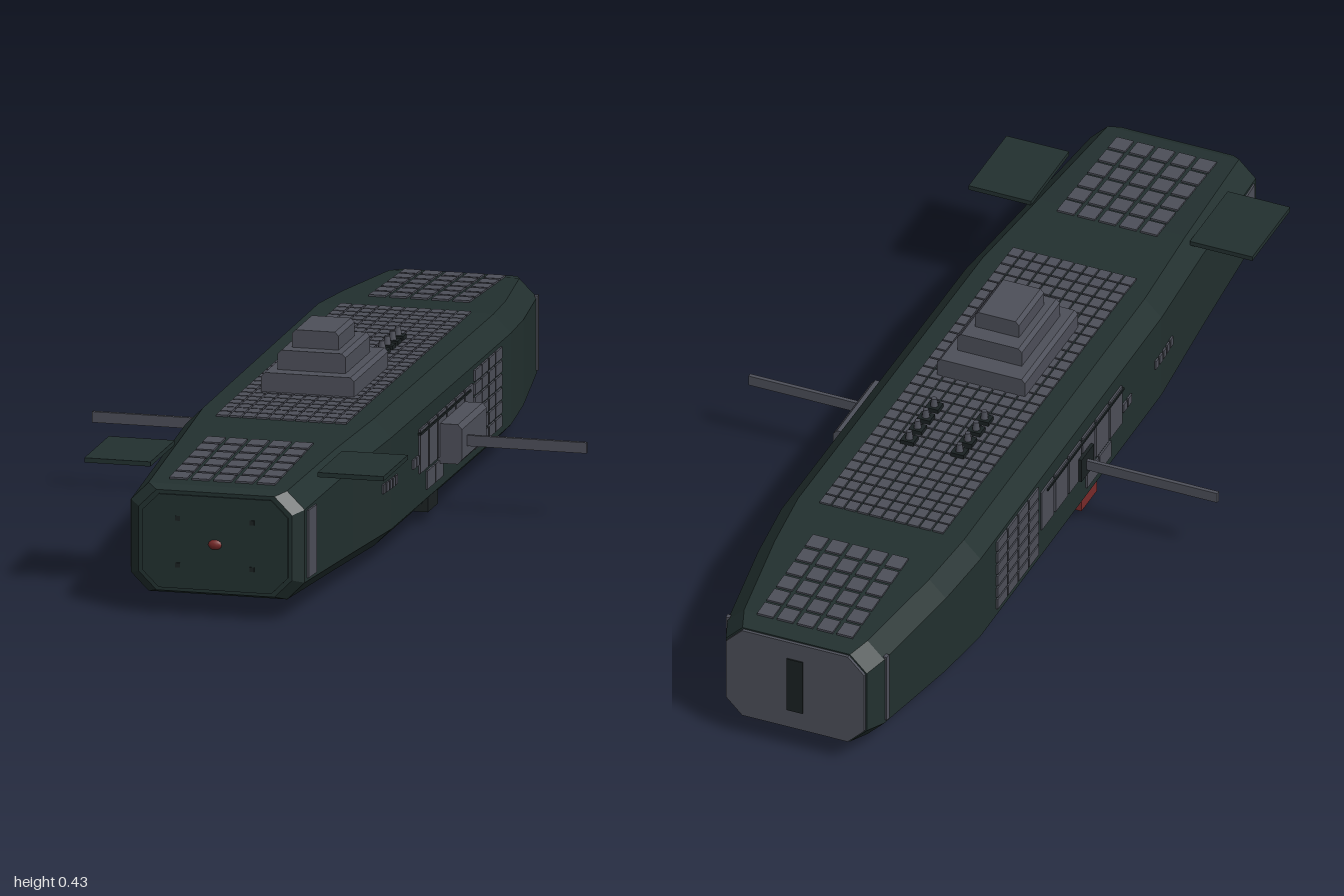
import * as THREE from 'three';
import { mergeGeometries } from 'three/addons/utils/BufferGeometryUtils.js';

const mat = (name, color) => Object.assign(new THREE.MeshStandardMaterial({ color }), { name });

// Hull stations: z, half width, top, bottom
const STATIONS = [
  [0.99, 0.165, 0.268, 0.053], [0.97, 0.187, 0.277, 0.045], [0.65, 0.205, 0.292, 0.035],
  [0.4, 0.222, 0.3, 0.028], [-0.55, 0.226, 0.3, 0.028], [-0.7, 0.213, 0.293, 0.034],
  [-0.94, 0.178, 0.282, 0.045], [-0.99, 0.16, 0.274, 0.053],
];
const CHAMFER = 0.038;

// Hull value k (1 half width, 2 top, 3 bottom) at z
function hullAt(z, k) {
  for (let i = 1; i < STATIONS.length; i++) {
    const a = STATIONS[i - 1], b = STATIONS[i];
    if (z >= b[0] || i === STATIONS.length - 1) {
      return THREE.MathUtils.lerp(b[k], a[k], (z - b[0]) / (a[0] - b[0]));
    }
  }
}

// Octagon, counter-clockwise seen from the front
function octagon(w, t, b, c) {
  return [[w - c, b], [w, b + c], [w, t - c], [w - c, t], [c - w, t], [-w, t - c], [-w, b + c], [c - w, b]];
}

function hullGeometry() {
  const pos = [];
  const rings = STATIONS.map(([z, w, t, b]) => octagon(w, t, b, CHAMFER).map(([x, y]) => [x, y, z]));
  const tri = (a, b, c) => pos.push(...a, ...b, ...c);
  for (let i = 0; i < rings.length - 1; i++) {
    const f = rings[i], r = rings[i + 1];
    for (let j = 0; j < 8; j++) {
      const k = (j + 1) % 8;
      tri(f[j], r[j], r[k]);
      tri(f[j], r[k], f[k]);
    }
  }
  const bow = rings[0], stern = rings[rings.length - 1];
  for (let j = 1; j < 7; j++) {
    tri(bow[0], bow[j], bow[j + 1]);
    tri(stern[0], stern[j + 1], stern[j]);
  }
  const g = new THREE.BufferGeometry();
  g.setAttribute('position', new THREE.Float32BufferAttribute(pos, 3));
  g.computeVertexNormals();
  return g;
}

// Grid of plates lying on a hull face; u is x on decks and y on the sides
function plates(face, z0, z1, u0, u1, nz, nu, gap, thick = 0.008) {
  const list = [], dz = (z1 - z0) / nz, du = (u1 - u0) / nu;
  const deck = face === 'top' || face === 'bottom';
  const k = face === 'top' ? 2 : face === 'bottom' ? 3 : 1;
  const sign = face === 'right' ? -1 : 1;
  for (let i = 0; i < nz; i++) {
    const z = z0 + dz * (i + 0.5);
    const h = hullAt(z, k) * sign;
    const slope = sign * (hullAt(z + 0.005, k) - hullAt(z - 0.005, k)) / 0.01;
    for (let j = 0; j < nu; j++) {
      const u = u0 + du * (j + 0.5);
      const g = deck ? new THREE.BoxGeometry(du - gap, thick, dz - gap)
        : new THREE.BoxGeometry(thick, du - gap, dz - gap);
      if (deck) g.rotateX(-Math.atan(slope)).translate(u, h, z);
      else g.rotateY(Math.atan(slope)).translate(h, u, z);
      list.push(g);
    }
  }
  return mergeGeometries(list);
}

export function createModel() {
  const model = new THREE.Group();
  const green = mat('hull green', 0x22302f);
  const grey = mat('plate grey', 0x4d4f59);
  const dark = mat('dark trim', 0x1a2122);
  const red = mat('signal red', 0x7a2a2a);

  const add = (name, geometry, material, parent = model) => {
    const m = new THREE.Mesh(geometry, material);
    m.name = name;
    parent.add(m);
    return m;
  };
  // Box from its extents
  const box = (name, material, x0, x1, y0, y1, z0, z1) =>
    add(name, new THREE.BoxGeometry(x1 - x0, y1 - y0, z1 - z0), material)
      .position.set((x0 + x1) / 2, (y0 + y1) / 2, (z0 + z1) / 2);
  // Octagonal plate on a hull end
  const endPlate = (name, material, w, t, b, c, z, depth) => {
    const shape = new THREE.Shape(octagon(w, t, b, c).map(([x, y]) => new THREE.Vector2(x, y)));
    add(name, new THREE.ExtrudeGeometry(shape, { depth, bevelEnabled: false }), material).position.z = z;
  };

  add('hull', hullGeometry(), green);

  // Bow and stern
  endPlate('bowPanel', green, 0.157, 0.26, 0.06, 0.036, 0.985, 0.009);
  const eye = add('bowSensor', new THREE.SphereGeometry(0.016, 10, 6), red);
  eye.scale.set(1, 0.7, 0.5);
  eye.position.set(0, 0.158, 0.992);
  for (const x of [-0.08, 0.08]) for (const y of [0.11, 0.21]) {
    box('bowPort', dark, x - 0.005, x + 0.005, y - 0.005, y + 0.005, 0.99, 0.996);
  }
  endPlate('sternPlate', grey, 0.157, 0.271, 0.056, 0.037, -0.997, 0.009);
  box('sternSlot', dark, -0.018, 0.018, 0.1, 0.23, -1, -0.994);

  // Deck and belly plating
  for (const face of ['top', 'bottom']) {
    add(face + 'ForePlates', plates(face, 0.62, 0.94, -0.118, 0.118, 6, 5, 0.009), grey);
    add(face + 'AftPlates', plates(face, -0.95, -0.65, -0.113, 0.113, 6, 5, 0.009), grey);
    add(face + 'MidPlates', plates(face, -0.55, 0.46, -0.142, 0.142, 30, 10, 0.004), grey);
  }

  // Stepped tower
  [[0.1, 0.3, 0.345, -0.03, 0.245], [0.073, 0.345, 0.387, 0.015, 0.213], [0.05, 0.387, 0.425, 0.053, 0.183]]
    .forEach(([w, y0, y1, z0, z1], i) => {
      const c = 0.008;
      const shape = new THREE.Shape([[-w, y0], [w, y0], [w, y1 - c], [w - c, y1], [c - w, y1], [-w, y1 - c]]
        .map(([x, y]) => new THREE.Vector2(x, y)));
      const g = new THREE.ExtrudeGeometry(shape, { depth: z1 - z0, bevelEnabled: false });
      add('towerTier' + (i + 1), g, grey).position.z = z0;
    });

  // Deck turrets
  for (const x of [-0.058, 0.056]) for (let i = 0; i < 4; i++) {
    const z = -0.145 - i * 0.043;
    box('turretBase', dark, x - 0.015, x + 0.015, 0.3, 0.313, z - 0.014, z + 0.014);
    add('turretCap', new THREE.CylinderGeometry(0.006, 0.009, 0.02, 8), grey).position.set(x, 0.321, z);
  }

  // Both sides
  for (const s of [1, -1]) {
    const face = s > 0 ? 'left' : 'right';
    const side = (name, material, x0, x1, ...rest) =>
      box(face + name, material, Math.min(s * x0, s * x1), Math.max(s * x0, s * x1), ...rest);
    add(face + 'SidePlates', plates(face, -0.47, -0.25, 0.08, 0.255, 4, 6, 0.005), grey);
    add(face + 'BayPanels', plates(face, -0.24, 0.19, 0.13, 0.232, 6, 1, 0.008), grey);
    add(face + 'LowerBayPanel', plates(face, 0.0, 0.13, 0.085, 0.128, 2, 1, 0.004), grey);
    add(face + 'BayRail', plates(face, -0.21, 0.19, 0.217, 0.222, 1, 1, 0, 0.014), dark);
    add(face + 'Windows', plates(face, 0.36, 0.465, 0.152, 0.178, 5, 1, 0.006), grey);
    add(face + 'SmallWindows', plates(face, 0.19, 0.24, 0.152, 0.178, 2, 1, 0.006), grey);
    add(face + 'BowStrip', plates(face, 0.9, 0.955, 0.09, 0.235, 1, 1, 0), grey);
    add(face + 'SternStrip', plates(face, -0.938, -0.926, 0.09, 0.25, 1, 1, 0), grey);
    side('Fin', green, 0.18, 0.322, 0.278, 0.288, 0.643, 0.84);
    side('RodMount', dark, 0.22, 0.235, 0.135, 0.19, -0.045, 0.02);
    side('Rod', grey, 0.22, 0.532, 0.15, 0.173, 0.011, 0.02);
  }

  // Parts found on one side or on the keel
  const pod = new THREE.Shape([[0.22, 0.12], [0.266, 0.12], [0.275, 0.13], [0.275, 0.195], [0.266, 0.205], [0.22, 0.205]]
    .map(([x, y]) => new THREE.Vector2(x, y)));
  add('sidePod', new THREE.ExtrudeGeometry(pod, { depth: 0.2, bevelEnabled: false }), grey).position.z = -0.17;
  box('leftLamp', dark, 0.185, 0.215, 0.026, 0.07, 0.0, 0.08);
  box('rightLamp', red, -0.215, -0.185, 0.026, 0.07, 0.0, 0.08);
  box('keelFin', grey, -0.013, 0.013, 0, 0.03, -0.365, -0.29);

  // Rods sit level with the pod
  model.children.filter((m) => m.name.endsWith('Rod')).forEach((m) => { m.position.z = -0.016; });
  return model;
}
